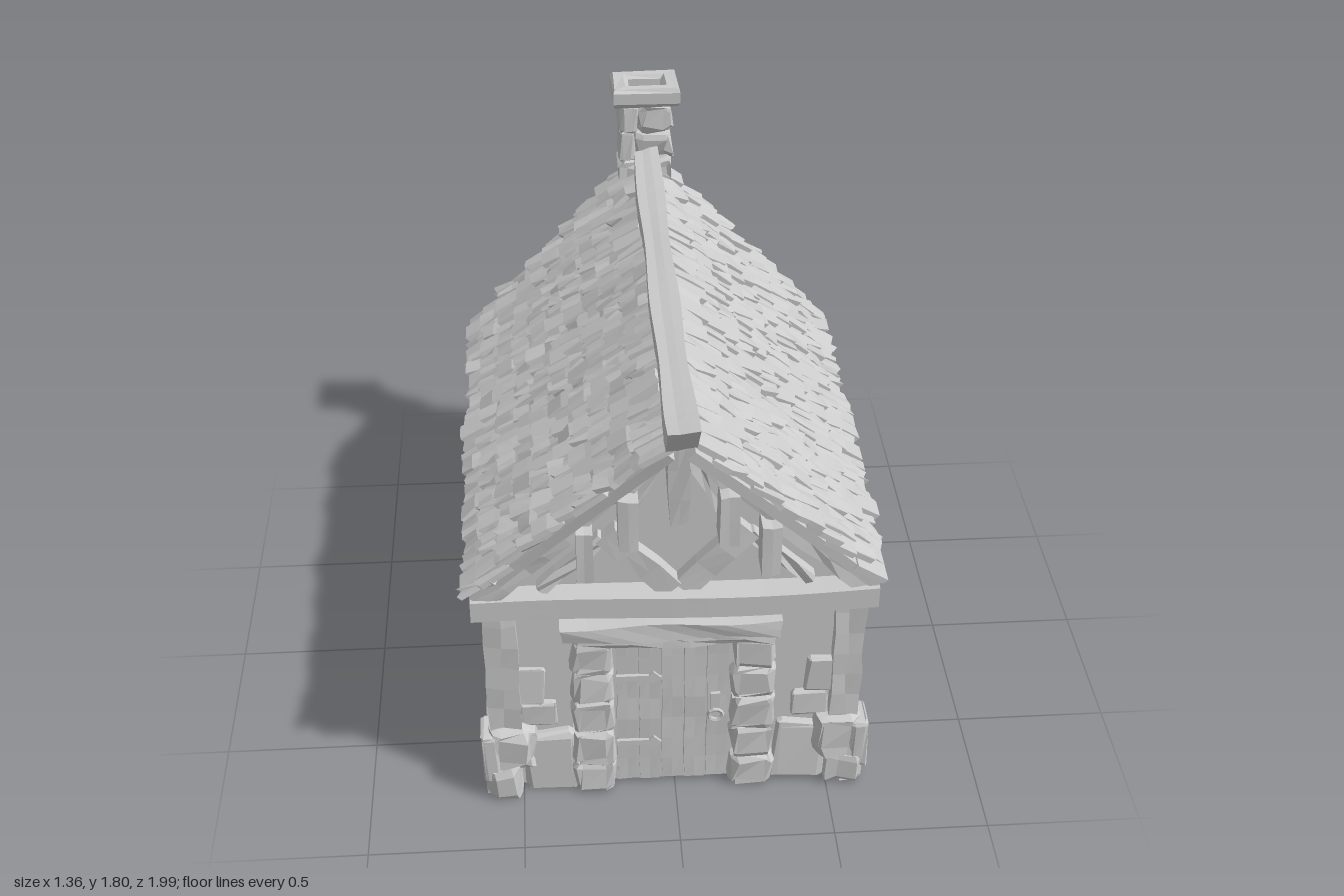
import * as THREE from 'three';
import { mergeGeometries } from 'three/addons/utils/BufferGeometryUtils.js';
import { RoundedBoxGeometry } from 'three/addons/geometries/RoundedBoxGeometry.js';

const V = (x, y, z) => new THREE.Vector3(x, y, z);
const mat = new THREE.MeshStandardMaterial({ color: 0xcccccc, flatShading: true, side: THREE.DoubleSide });
let seed = 7;
const rnd = (a = 0, b = 1) => {
  seed = (seed * 16807) % 2147483647;
  return a + (b - a) * (seed / 2147483647);
};

// Move vertices by a rule; equal corners always move together.
function warp(geo, rule) {
  const p = geo.attributes.position, v = V();
  for (let i = 0; i < p.count; i++) {
    rule(v.fromBufferAttribute(p, i));
    p.setXYZ(i, v.x, v.y, v.z);
  }
  return geo;
}
function rough(geo, amount) {
  const k = rnd(1, 50);
  const n = (v, a) => Math.sin(Math.round(v.x * 500) * 12.9 + Math.round(v.y * 500) * 78.2 + Math.round(v.z * 500) * 37.7 + a * k);
  return warp(geo, v => v.add(V(n(v, 1), n(v, 2), n(v, 3)).multiplyScalar(amount)));
}
const box = (x0, x1, y0, y1, z0, z1) =>
  new THREE.BoxGeometry(x1 - x0, y1 - y0, z1 - z0).translate((x0 + x1) / 2, (y0 + y1) / 2, (z0 + z1) / 2);

// Hewn timber from a to b; n is the direction its broad face looks.
function beam(a, b, w, d, n, r = 0.005) {
  const dir = b.clone().sub(a), len = dir.length();
  dir.normalize();
  const g = rough(new THREE.BoxGeometry(w, len, d, 2, Math.max(1, Math.round(len / 0.09)), 1), r);
  const side = dir.clone().cross(n).normalize();
  return g.applyMatrix4(new THREE.Matrix4().makeBasis(side, dir, side.clone().cross(dir)))
    .translate((a.x + b.x) / 2, (a.y + b.y) / 2, (a.z + b.z) / 2);
}
// Rounded stone with uneven corners, kept above the ground.
function stone(x, y, z, w, h, d) {
  const m = Math.min(w, h, d), tx = rnd(-0.5, 0.5), ty = rnd(-0.5, 0.5);
  const g = warp(rough(new RoundedBoxGeometry(w, h, d, 1, m * 0.24), m * 0.07), v => {
    v.x *= 1 + tx * v.y;
    v.y *= 1 + ty * (v.x + v.z);
  });
  g.rotateZ(rnd(-0.07, 0.07)).rotateX(rnd(-0.05, 0.05)).translate(x, y, z);
  return warp(g, v => { v.y = Math.max(0, v.y); });
}
// Courses of stones along x or z with uneven widths.
function masonry(axis, u0, u1, y0, y1, rows, at, depth, size) {
  const out = [], h = (y1 - y0) / rows;
  for (let r = 0; r < rows; r++) {
    const n = Math.max(1, Math.round((u1 - u0) / size));
    const cuts = [u0];
    for (let i = 1; i < n; i++) cuts.push(u0 + (u1 - u0) * (i + rnd(-0.25, 0.25) + (r % 2 ? 0.2 : -0.2)) / n);
    cuts.push(u1);
    for (let i = 0; i < n; i++) {
      const w = cuts[i + 1] - cuts[i], c = (cuts[i] + cuts[i + 1]) / 2;
      const y = y0 + h * (r + 0.5), hh = h * rnd(1, 1.15), d = depth * rnd(0.92, 1.06);
      out.push(axis === 'x' ? stone(c, y, at, w, hh, d) : stone(at, y, c, d, hh, w));
    }
  }
  return out;
}

// Roof surface: s runs from eave (0) to ridge (1).
const roofX = s => 0.62 - 0.59 * s, roofY = s => 0.845 + 0.61 * s;
const roofFront = s => 0.78 + 0.13 * Math.pow(Math.max(s, 0), 1.3), roofBack = s => -0.83 - 0.05 * s;

export function createModel() {
  const model = new THREE.Group();
  const part = (name, geos) => {
    const clean = geos.map(g => {
      const f = g.index ? g.toNonIndexed() : g;
      for (const k of Object.keys(f.attributes)) if (k !== 'position') f.deleteAttribute(k);
      return f;
    });
    const g = mergeGeometries(clean);
    g.computeVertexNormals();
    const m = new THREE.Mesh(g, mat);
    m.name = name;
    model.add(m);
  };
  const X = V(1, 0, 0), Z = V(0, 0, 1);

  // Plaster walls, open underneath
  part('walls', [
    box(-0.57, 0.57, 0, 0.82, 0.66, 0.71), box(-0.57, 0.57, 0, 0.82, -0.75, -0.7),
    box(0.51, 0.555, 0, 0.82, -0.7, 0.66), box(-0.57, -0.53, 0, 0.82, -0.7, 0.66)]);
  const tri = new THREE.Shape([new THREE.Vector2(-0.6, 0.81), new THREE.Vector2(0.6, 0.81), new THREE.Vector2(0, 1.43)]);
  part('gableWalls', [0.66, -0.75].map(z =>
    new THREE.ExtrudeGeometry(tri, { depth: 0.05, bevelEnabled: false }).translate(0, 0, z)));

  // Rubble foundation and corner boulders
  const base = [];
  for (const s of [-1, 1]) {
    base.push(...masonry('z', -0.79, 0.77, 0, 0.22, 2, s * 0.57, 0.1, 0.16));
    base.push(...masonry('x', s > 0 ? 0.26 : -0.62, s > 0 ? 0.62 : -0.26, 0, 0.22, 2, -0.75, 0.1, 0.15));
    base.push(stone(s * 0.53, 0.2, 0.71, 0.15, 0.17, 0.14), stone(s * 0.6, 0.17, 0.72, 0.06, 0.2, 0.12));
    base.push(stone(s * 0.56, 0.07, 0.72, 0.13, 0.14, 0.13), stone(s * 0.41, 0.12, 0.71, 0.17, 0.24, 0.07));
    base.push(stone(s * 0.47, 0.44, 0.71, 0.1, 0.14, 0.04), stone(s * 0.44, 0.32, 0.71, 0.12, 0.1, 0.04));
  }
  base.push(stone(0.555, 0.46, 0.06, 0.05, 0.1, 0.07), stone(0.555, 0.4, -0.13, 0.05, 0.12, 0.09));
  part('foundationStones', base);

  // Corner posts, top plates and wall braces
  const frame = [];
  for (const s of [-1, 1]) {
    for (const z of [0.7, -0.73]) frame.push(beam(V(s * 0.55, 0.2, z), V(s * 0.55, 0.8, z), 0.1, 0.1, Z));
    frame.push(beam(V(s * 0.57, 0.8, -0.8), V(s * 0.57, 0.8, 0.78), 0.07, 0.08, X));
    for (const z of [0.72, 0.36, 0, -0.37, -0.74]) frame.push(box(s * 0.595 - 0.035, s * 0.595 + 0.035, 0.77, 0.83, z - 0.045, z + 0.045));
    frame.push(beam(V(-0.63, 0.8, s * 0.74), V(0.63, 0.8, s * 0.74), 0.075, 0.1, Z, 0.006));
    frame.push(beam(V(0.57, 0.37, s * 0.02 - 0.01), V(0.57, 0.21, s * 0.17 - 0.01), 0.06, 0.05, X));
  }
  frame.push(beam(V(0.57, 0.2, -0.01), V(0.57, 0.8, -0.01), 0.08, 0.07, X));
  frame.push(beam(V(0.57, 0.38, -0.68), V(0.57, 0.22, -0.58), 0.05, 0.05, X));
  frame.push(beam(V(-0.56, 0.78, -0.07), V(-0.56, 0.22, -0.4), 0.04, 0.04, X));
  frame.push(beam(V(-0.56, 0.78, 0.66), V(-0.56, 0.2, 0.4), 0.04, 0.04, X));
  part('timberFrame', frame);

  // Gable trusses: rafters, king post, V braces and hanging purlin ends
  const truss = [];
  for (const f of [1, -1]) {
    const z = f > 0 ? 0.73 : -0.77;
    for (const s of [-1, 1]) {
      truss.push(beam(V(s * 0.59, 0.83, z + f * 0.01), V(s * 0.02, 1.42, z + f * 0.06), 0.06, 0.06, Z));
      truss.push(beam(V(s * 0.02, 0.84, z), V(s * 0.22, 1.06, z), 0.08, 0.05, Z));
      truss.push(beam(V(s * 0.03, 1.36, z), V(s * 0.14, 1.14, z), 0.04, 0.04, Z));
      truss.push(beam(V(s * 0.22, 1.04, z), V(s * 0.42, 0.85, z), 0.04, 0.04, Z));
      truss.push(beam(V(s * 0.28, 0.95, z + f * 0.06), V(s * 0.28, 1.13, z + f * 0.06), 0.055, 0.1, Z, 0.003));
      truss.push(beam(V(s * 0.15, 1.08, z + f * 0.08), V(s * 0.15, 1.26, z + f * 0.08), 0.055, 0.1, Z, 0.003));
    }
    truss.push(beam(V(0, 1.16, z + f * 0.05), V(0, 1.46, z + f * 0.07), 0.06, 0.12, Z));
  }
  part('gableTimbers', truss);

  // Plank door with lintel, jambs, hinges and handle
  const planks = [];
  for (let i = 0; i < 5; i++) {
    const x = -0.155 + i * 0.073;
    planks.push(beam(V(x, 0.02, 0.715), V(x, 0.64, 0.715), 0.066, 0.03 + (i % 2) * 0.008, Z, 0.002));
  }
  part('door', planks);
  part('doorJambStones', [
    ...masonry('x', -0.33, -0.2, 0, 0.64, 5, 0.72, 0.1, 0.14),
    ...masonry('x', 0.18, 0.32, 0, 0.64, 5, 0.72, 0.1, 0.14)]);
  part('doorLintel', [
    beam(V(-0.36, 0.69, 0.74), V(0.33, 0.69, 0.74), 0.06, 0.09, Z, 0.005),
    beam(V(-0.31, 0.65, 0.735), V(0.31, 0.65, 0.735), 0.05, 0.085, Z, 0.005)]);
  const iron = [];
  for (const y of [0.19, 0.47]) {
    iron.push(box(-0.19, -0.08, y - 0.01, y + 0.01, 0.73, 0.742));
    iron.push(new THREE.CylinderGeometry(0.025, 0.025, 0.012, 4).rotateX(Math.PI / 2).translate(-0.07, y, 0.737));
  }
  iron.push(box(0.115, 0.145, 0.27, 0.39, 0.73, 0.742));
  iron.push(new THREE.TorusGeometry(0.022, 0.007, 5, 10).translate(0.13, 0.31, 0.752));
  part('doorIronwork', iron);

  // Two leaded windows on the left wall
  const wood = [], lead = [];
  for (const c of [0.385, -0.4]) {
    wood.push(beam(V(0.575, 0.635, c - 0.22), V(0.575, 0.635, c + 0.22), 0.055, 0.07, X, 0.004));
    wood.push(beam(V(0.575, 0.315, c - 0.22), V(0.575, 0.315, c + 0.22), 0.055, 0.08, X, 0.004));
    for (const o of [-0.17, 0, 0.17]) wood.push(beam(V(0.568, 0.33, c + o), V(0.568, 0.62, c + o), 0.04, 0.05, X, 0.003));
    for (const o of [-0.085, 0.085]) for (const m of [-1, 1]) for (const k of [-0.165, -0.055, 0.055, 0.165]) {
      // Diagonal came clipped to the pane: y = 1.3u + k
      const u0 = Math.max(-0.07, (-0.13 - k) / 1.3), u1 = Math.min(0.07, (0.13 - k) / 1.3);
      if (u1 - u0 > 0.015) lead.push(beam(V(0.56, 0.47 + 1.3 * u0 + k, c + o + m * u0), V(0.56, 0.47 + 1.3 * u1 + k, c + o + m * u1), 0.014, 0.02, X, 0));
    }
  }
  part('windowFrames', wood);
  part('windowLattice', lead);

  // Roof boards with raked ends, then overlapping shingles
  const boards = [], shingles = [];
  for (const side of [-1, 1]) {
    boards.push(warp(new THREE.BoxGeometry(1, 0.035, 1, 8, 1, 1), v => {
      const s = v.x + 0.5, z = v.z > 0 ? roofFront(s) - 0.01 : roofBack(s) + 0.01;
      v.set(side * (roofX(s) + v.y * 0.7), roofY(s) + v.y * 0.7 - 0.01, z);
    }));
    const up = V(-side * 0.59, 0.61, 0).normalize(), out = V(side * 0.61, 0.59, 0).normalize();
    const rows = 10;
    for (let r = 0; r < rows; r++) {
      const s = r / rows;
      let z = roofBack(s) + rnd(-0.02, 0.01);
      while (z < roofFront(s) - 0.02) {
        const w = Math.min(rnd(0.04, 0.08), roofFront(s) + 0.01 - z), len = rnd(0.105, 0.13), lift = rnd(0.016, 0.036);
        const g = warp(rough(new THREE.BoxGeometry(w * 0.98, len, 0.02, 2, 2, 1), 0.006), v => {
          v.z += lift * (0.5 - v.y / len);
        });
        const slip = rnd(-0.014, 0.012) + 0.045;
        g.applyMatrix4(new THREE.Matrix4().makeBasis(up.clone().cross(out), up, out));
        g.translate(side * roofX(s) + up.x * slip + out.x * 0.012, roofY(s) + up.y * slip + out.y * 0.012, z + w / 2);
        shingles.push(g);
        z += w;
      }
    }
  }
  part('roofBoards', boards);
  part('roofShingles', shingles);

  // Sagging ridge log with an upswept front
  part('ridgeBeam', [warp(rough(new THREE.BoxGeometry(0.1, 0.11, 1.8, 3, 2, 26), 0.007).translate(0, 0, 0.095), v => {
    const z = v.z;
    v.z += z > 0.9 ? (v.y - 0.055) * 0.7 : 0;
    v.y += 1.48 + 0.02 * z * z + 0.04 * z ** 4;
    v.x *= 1 + 0.08 * Math.sin(z * 9);
  })]);

  // Tapering stone chimney with a hollow, flared cap
  const stack = [];
  const half = y => y < 0.85 ? 0.265 : y < 1.32 ? 0.265 - (y - 0.85) * 0.34 : 0.1 - Math.max(0, y - 1.5) * 0.05;
  const courses = 16, h = 1.73 / courses;
  for (let r = 0; r < courses; r++) {
    const y = r * h, w = half(y + h / 2) + rnd(-0.006, 0.006);
    const back = y < 1.1 ? -0.975 : -0.95, front = y < 1.3 ? -0.74 : y < 1.5 ? -0.79 : -0.81;
    stack.push(...masonry('x', -w, w, y, y + h, 1, (back + front) / 2, front - back, w > 0.15 ? 0.14 : 0.11));
  }
  part('chimneyStack', stack);
  const rect = (a, b) => [[-a, -b], [a, -b], [a, b], [-a, b]].map(p => new THREE.Vector2(...p));
  const ring = new THREE.Shape(rect(0.105, 0.075));
  ring.holes.push(new THREE.Path(rect(0.07, 0.05).reverse()));
  part('chimneyCap', [rough(new THREE.ExtrudeGeometry(ring, { depth: 0.04, bevelSize: 0.012, bevelThickness: 0.015, bevelSegments: 1 }), 0.004)
    .rotateX(-Math.PI / 2).translate(0, 1.74, -0.877)]);

  return model;
}
